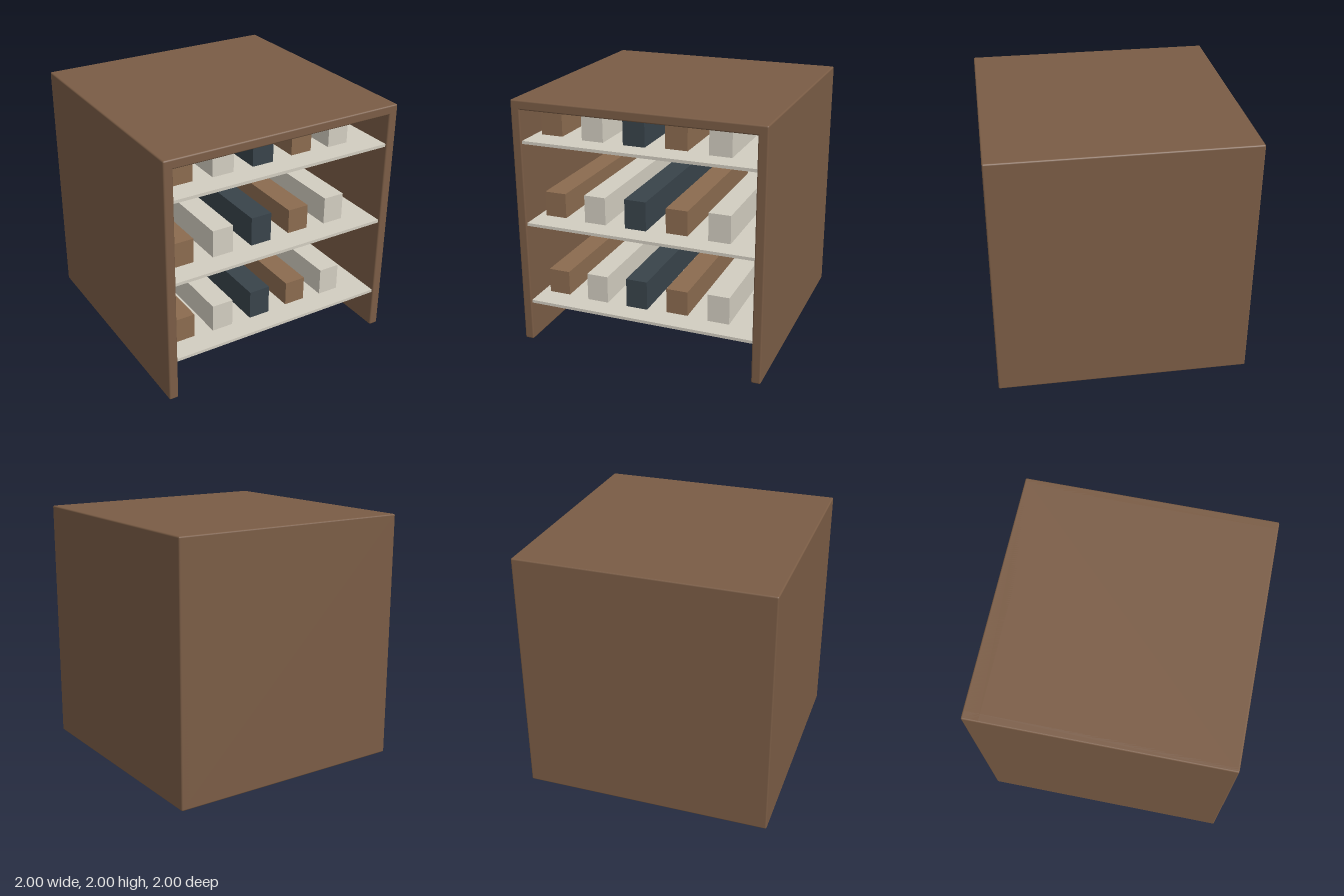
import * as THREE from 'three';
import { RoundedBoxGeometry } from 'three/addons/geometries/RoundedBoxGeometry.js';

const mat = (color) => new THREE.MeshStandardMaterial({ color });

export function createModel() {
  const model = new THREE.Group();
  model.name = 'shelfCabinet';
  const wood = mat(0x7a5c45);
  const cream = mat(0xd2cdc0);
  const goods = [
    { name: 'brownBox', height: 0.2, material: mat(0x8b6b4f) },
    { name: 'creamBox', height: 0.225, material: cream },
    { name: 'darkBox', height: 0.25, material: mat(0x38434a) },
  ];

  // Adds a mesh spanning two opposite corners; a radius softens its edges
  function span(name, material, [x0, y0, z0], [x1, y1, z1], radius = 0) {
    const size = [x1 - x0, y1 - y0, z1 - z0];
    const geometry = radius
      ? new RoundedBoxGeometry(...size, 2, radius)
      : new THREE.BoxGeometry(...size);
    const mesh = new THREE.Mesh(geometry, material);
    mesh.name = name;
    mesh.position.set((x0 + x1) / 2, (y0 + y1) / 2, (z0 + z1) / 2);
    model.add(mesh);
  }

  // Carcass, open at the front and underneath
  const wall = 0.075, back = 0.14, soft = 0.012;
  span('leftWall', wood, [1 - wall, 0, -1], [1, 2, 1], soft);
  span('rightWall', wood, [-1, 0, -1], [wall - 1, 2, 1], soft);
  span('topPanel', wood, [-1, 2 - wall, -1], [1, 2, 1], soft);
  span('backPanel', wood, [-1, 0, -1], [1, 2, back - 1], soft);

  // Three shelves, each with a row of five long boxes
  const inner = 1 - wall;
  for (let row = 0; row < 3; row++) {
    const y = 0.336 + row * 0.667;
    span('shelf', cream, [-inner, y - 0.012, back - 1], [inner, y + 0.012, 0.985]);
    for (let i = 0; i < 5; i++) {
      const { name, height, material } = goods[i % 3];
      const x = -0.763 + i * 0.34, mid = y + 0.123;
      span(name, material,
        [x - 0.088, mid - height / 2, -0.7], [x + 0.088, mid + height / 2, 0.81]);
    }
  }
  return model;
}
